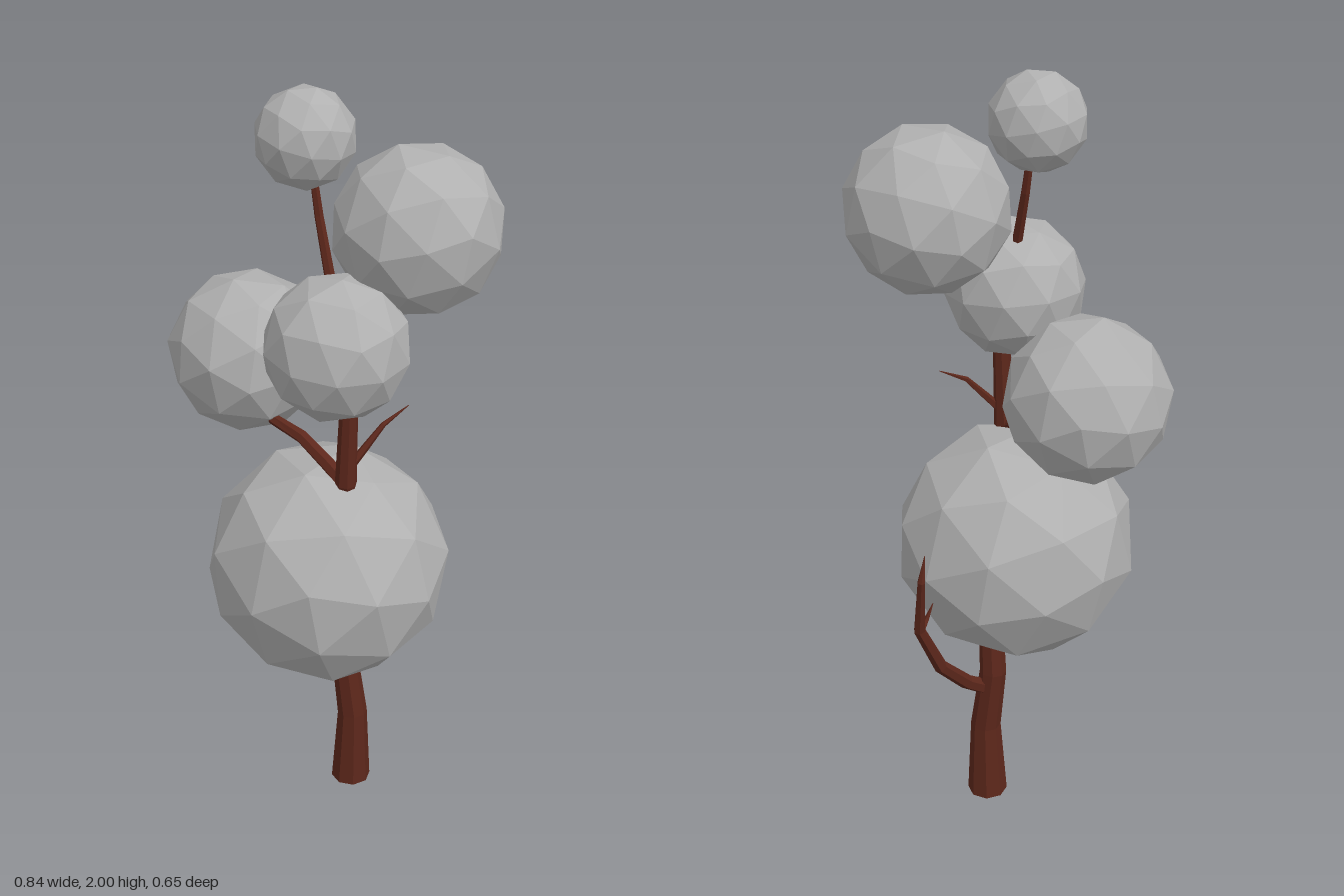
import * as THREE from 'three';

const bark = new THREE.MeshStandardMaterial({ color: 0x5c271b });
bark.name = 'reddish brown bark';
bark.flatShading = true;
const leaf = new THREE.MeshStandardMaterial({ color: 0xb0b0b0 });
leaf.name = 'grey foliage';
leaf.flatShading = true;

// Tapered limb through points [x, y, z, radius], with closed ends
function limb(name, points, sides = 8) {
  const centres = points.map(p => new THREE.Vector3(p[0], p[1], p[2]));
  const up = new THREE.Vector3(0, 1, 0);
  const pos = [], index = [];
  centres.forEach((c, i) => {
    const dir = centres[Math.min(i + 1, centres.length - 1)].clone()
      .sub(centres[Math.max(i - 1, 0)]).normalize();
    if (i === 0 && c.y === 0) dir.copy(up);
    const turn = new THREE.Quaternion().setFromUnitVectors(up, dir);
    for (let s = 0; s < sides; s++) {
      const a = (s + 0.5) / sides * Math.PI * 2;
      const v = new THREE.Vector3(Math.sin(a), 0, Math.cos(a))
        .multiplyScalar(points[i][3]).applyQuaternion(turn).add(c);
      pos.push(v.x, v.y, v.z);
    }
  });
  const last = (centres.length - 1) * sides;
  for (let i = 0; i < last; i += sides) {
    for (let s = 0; s < sides; s++) {
      const a = i + s, b = i + (s + 1) % sides;
      index.push(a, b, b + sides, a, b + sides, a + sides);
    }
  }
  for (let s = 1; s < sides - 1; s++) {
    index.push(0, s + 1, s, last, last + s, last + s + 1);
  }
  const geo = new THREE.BufferGeometry();
  geo.setAttribute('position', new THREE.Float32BufferAttribute(pos, 3));
  geo.setIndex(index);
  geo.computeVertexNormals();
  const mesh = new THREE.Mesh(geo, bark);
  mesh.name = name;
  return mesh;
}

// Faceted ball of leaves
function foliage(name, x, y, z, r, rx, ry, rz) {
  const mesh = new THREE.Mesh(new THREE.IcosahedronGeometry(r, 1), leaf);
  mesh.position.set(x, y, z);
  mesh.rotation.set(rx, ry, rz);
  mesh.name = name;
  return mesh;
}

export function createModel() {
  const tree = new THREE.Group();
  tree.name = 'tree';

  // Trunk, running up through the large ball and bending forward
  tree.add(limb('trunk', [
    [0.06, 0, -0.08, 0.053], [0.063, 0.22, -0.08, 0.04], [0.04, 0.40, -0.08, 0.035],
    [0.05, 0.55, -0.07, 0.032], [0.08, 0.80, 0.02, 0.03], [0.088, 1.04, 0.10, 0.027],
    [0.095, 1.27, 0.10, 0.022], [0.075, 1.42, 0.10, 0.018]]));

  // Limbs that carry the upper balls
  tree.add(limb('leftLimb', [
    [0.09, 1.03, 0.10, 0.02], [0.04, 1.07, 0.08, 0.019],
    [-0.04, 1.12, 0.045, 0.017], [-0.12, 1.145, 0.02, 0.015], [-0.2, 1.22, -0.06, 0.01]], 6));
  tree.add(limb('rightLimb', [
    [0.08, 1.40, 0.10, 0.018], [0.13, 1.5, 0.05, 0.015], [0.2, 1.62, -0.03, 0.01]], 6));
  tree.add(limb('topLimb', [
    [0.075, 1.42, 0.10, 0.016], [0.035, 1.58, 0.07, 0.013],
    [0.005, 1.70, 0.045, 0.011], [-0.015, 1.82, 0.035, 0.009]], 6));

  // Bare branch at the back with its small twig
  tree.add(limb('backBranch', [
    [0.055, 0.34, -0.08, 0.022], [0.085, 0.395, -0.15, 0.02], [0.115, 0.49, -0.235, 0.018],
    [0.142, 0.63, -0.293, 0.015], [0.115, 0.80, -0.325, 0.01], [0.11, 0.87, -0.313, 0.001]], 6));
  tree.add(limb('backTwig', [
    [0.14, 0.62, -0.29, 0.009], [0.135, 0.65, -0.265, 0.007], [0.125, 0.69, -0.248, 0.001]], 5));
  tree.add(limb('frontTwig', [
    [0.095, 1.08, 0.10, 0.012], [0.13, 1.13, 0.07, 0.01],
    [0.165, 1.18, 0.04, 0.007], [0.215, 1.215, -0.01, 0.001]], 5));

  // Foliage balls
  tree.add(
    foliage('lowerFoliage', 0.02, 0.76, 0.02, 0.312, 0.3, 0.2, 0.1),
    foliage('leftFoliage', -0.22, 1.27, -0.095, 0.204, 0.7, 0.5, 0.2),
    foliage('middleFoliage', 0.072, 1.415, 0.132, 0.178, 0.2, 0.9, 0.4),
    foliage('rightFoliage', 0.218, 1.655, -0.048, 0.206, 0.5, 0.1, 0.6),
    foliage('topFoliage', -0.03, 1.88, 0.035, 0.12, 0.1, 0.4, 0.3));
  return tree;
}
